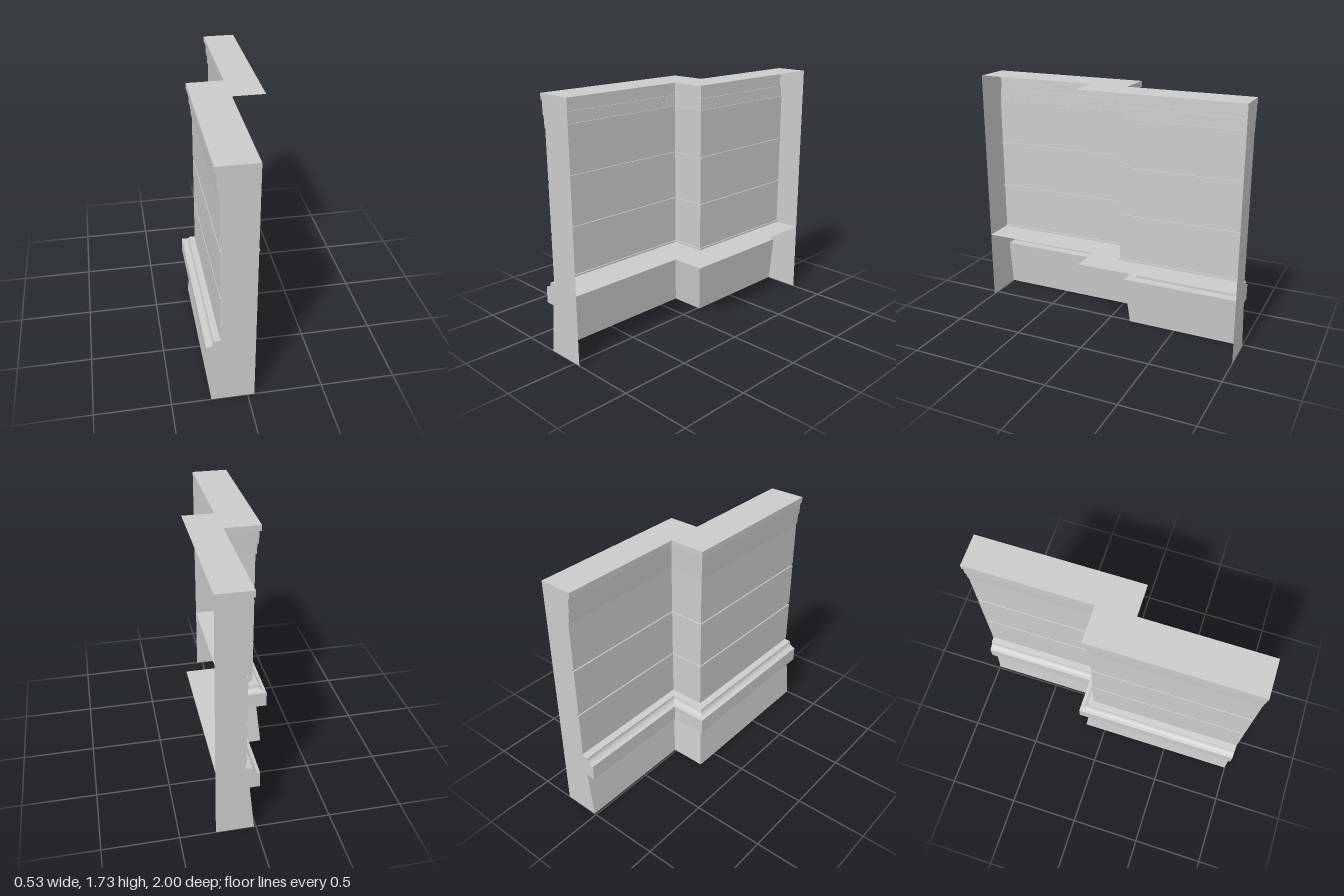
import * as THREE from 'three';
import { toCreasedNormals } from 'three/addons/utils/BufferGeometryUtils.js';

const JOG = 0.252;       // sideways step between the two wall runs
const BACK = 0.045;      // rear edge of the front run
const BACK2 = 0.265;     // rear edge of the rear run
const SHELF_Y = 0.505;

// Outer plan line for a face that stands d out from the axis
const plan = (d) => [[-d, 1], [-d, 0.083 - d], [JOG - d, 0.083 - d], [JOG - d, -1]];

// Profiles as [outward distance, height], bottom to top
const plinth = [[0.24, 0], [0.205, 0.345]];
const moulding = [[0.205, 0.345], [0.27, 0.345], [0.27, 0.455], [0.264, 0.457]];
for (let i = 1; i <= 8; i++) {
  const a = (i / 8) * Math.PI / 2;   // hollow cove
  moulding.push([0.264 - 0.042 * Math.sin(a), 0.5 - 0.043 * Math.cos(a)]);
}
moulding.push([0.174, SHELF_Y]);

const courses = [[0.174, SHELF_Y], [0.174, 0.517], [0.183, 0.517]];
for (const y of [0.833, 1.176]) {    // recessed joints
  courses.push([0.183, y], [0.174, y], [0.174, y + 0.017], [0.183, y + 0.017]);
}
courses.push([0.183, 1.52]);
const cornice = [[0.183, 1.52], [0.19, 1.52], [0.193, 1.597], [0.2, 1.597],
  [0.203, 1.69], [0.215, 1.69], [0.215, 1.73]];

// Sweeps a profile along the stepped plan, with mitred corners
function sweep(profile) {
  const pos = [];
  for (let i = 0; i < profile.length - 1; i++) {
    const [lo, hi] = [profile[i], profile[i + 1]];
    const p = plan(lo[0]), q = plan(hi[0]);
    for (let j = 0; j < 3; j++) {
      const a = [p[j][0], lo[1], p[j][1]], b = [p[j + 1][0], lo[1], p[j + 1][1]];
      const c = [q[j][0], hi[1], q[j][1]], d = [q[j + 1][0], hi[1], q[j + 1][1]];
      pos.push(...a, ...c, ...b, ...b, ...c, ...d);
    }
  }
  const g = new THREE.BufferGeometry();
  g.setAttribute('position', new THREE.Float32BufferAttribute(pos, 3));
  return toCreasedNormals(g, 0.5);
}

const flat = (pts) => new THREE.ShapeGeometry(
  new THREE.Shape(pts.map(([x, y]) => new THREE.Vector2(x, y))));

// Horizontal slab covering the whole stepped plan
function slab(d, y) {
  const outline = [...plan(d), [BACK2, -1], [BACK2, 0.13], [BACK, 0.13], [BACK, 1]];
  return flat(outline.map(([x, z]) => [x, -z])).rotateX(-Math.PI / 2).translate(0, y, 0);
}

// End walls closing a profile back to the rear edge
function endWall(profile, rear) {
  const y0 = profile[0][1], y1 = profile[profile.length - 1][1];
  const x = rear ? BACK2 : BACK, s = rear ? -1 : 1, shift = rear ? JOG : 0;
  const pts = [...profile.map(([d, y]) => [s * (shift - d), y]), [s * x, y1], [s * x, y0]];
  const g = flat(pts);
  return rear ? g.rotateY(Math.PI).translate(0, 0, -1) : g.translate(0, 0, 1);
}

export function createModel() {
  const group = new THREE.Group();
  const material = new THREE.MeshStandardMaterial({ color: 0xcccccc, side: THREE.DoubleSide });
  const add = (name, geometry) => {
    const mesh = new THREE.Mesh(geometry, material);
    mesh.name = name;
    group.add(mesh);
  };

  // Outer faces
  add('plinth', sweep(plinth));
  add('baseMoulding', sweep(moulding));
  add('wallCourses', sweep(courses));
  add('cornice', sweep(cornice));

  // Horizontal surfaces
  add('shelf', slab(0.174, SHELF_Y));
  add('wallTop', slab(0.215, 1.73));

  // Ends; the rear side and the underside stay open
  for (const rear of [false, true]) {
    const side = rear ? 'rear' : 'front';
    add(side + 'BaseEnd', endWall([...plinth, ...moulding.slice(1)], rear));
    add(side + 'WallEnd', endWall([...courses, ...cornice.slice(1)], rear));
  }
  return group;
}
